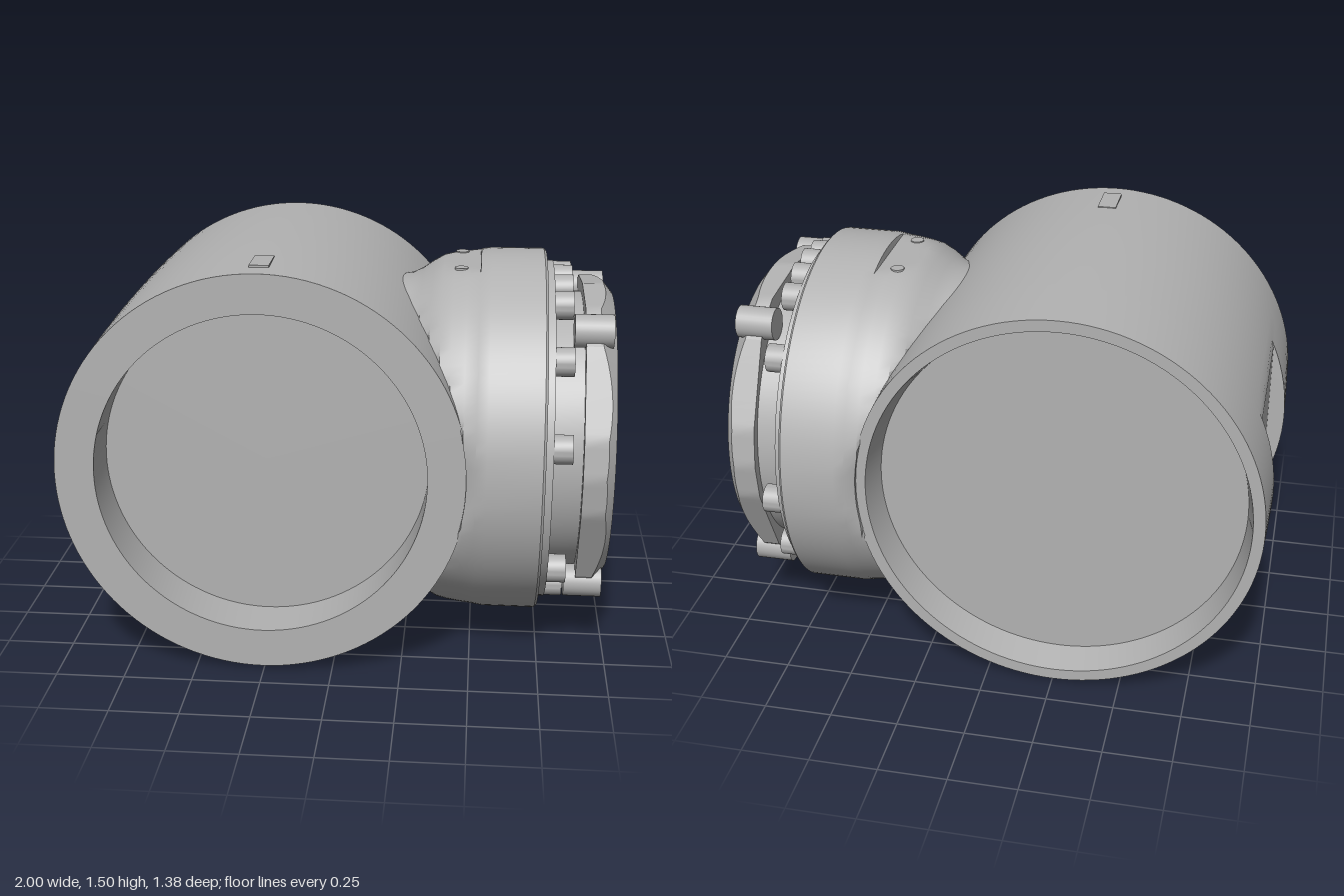
import * as THREE from 'three';
import { toCreasedNormals } from 'three/addons/utils/BufferGeometryUtils.js';

const CY = 0.75;      // height of both axes
const BX = -0.255;    // x of the barrel axis

// Moves every vertex by a rule
function reshape(geo, rule) {
  const p = geo.attributes.position;
  const v = new THREE.Vector3();
  for (let i = 0; i < p.count; i++) {
    v.fromBufferAttribute(p, i);
    rule(v);
    p.setXYZ(i, v.x, v.y, v.z);
  }
  return geo;
}

// Lathe of [radius, position along axis] pairs
function lathe(profile, segments) {
  return new THREE.LatheGeometry(profile.map(([r, a]) => new THREE.Vector2(r, a)), segments);
}

// Distance from the centre to the cover's eight-sided outline along a direction
const outline = [[0, 0.575], [0.27, 0.545], [0.4, 0.445], [0.55, 0.14], [0.57, 0]];
function coverRadius(y, z) {
  const l = Math.hypot(y, z), dz = Math.abs(z) / l, dy = Math.abs(y) / l;
  let best = 1;
  for (let i = 0; i < outline.length - 1; i++) {
    const [pz, py] = outline[i];
    const ez = outline[i + 1][0] - pz, ey = outline[i + 1][1] - py;
    const t = (pz * ey - py * ez) / (dz * ey - dy * ez);
    if (t > 0) best = Math.min(best, t);
  }
  return best;
}

export function createModel() {
  const model = new THREE.Group();
  const metal = new THREE.MeshStandardMaterial({ color: 0xb2b2b2 });
  metal.name = 'castGrey';

  function add(name, geo, x = 0, y = 0, z = 0, parent = model) {
    const mesh = new THREE.Mesh(geo, metal);
    mesh.name = name;
    mesh.position.set(x, y, z);
    parent.add(mesh);
    return mesh;
  }

  // Barrel housing: slightly bulged, recessed at both ends, flat cut on its right side
  const wall = [-0.64, -0.5, -0.36, -0.359, -0.2, 0, 0.12, 0.239, 0.24, 0.44, 0.64]
    .map((z) => [0.75 - 0.012 * (z / 0.64) ** 2, z]);
  const barrel = lathe([
    [0, -0.52], [0.67, -0.52], [0.695, -0.64], ...wall,
    [0.595, 0.64], [0.595, 0.44], [0, 0.44],
  ], 128).rotateX(Math.PI / 2);
  reshape(barrel, (v) => {
    if (v.z > -0.3595 && v.z < 0.2395) v.x = Math.max(v.x, -0.94 - BX);
  });
  add('barrelHousing', toCreasedNormals(barrel, 0.4), BX, CY, 0);

  // Neck and flange: flats above and below, base wrapped onto the barrel
  const neck = lathe([
    [0.58, 0.1], [0.583, 0.2], [0.59, 0.25], [0.61, 0.29], [0.638, 0.33], [0.66, 0.37],
    [0.67, 0.41], [0.678, 0.46], [0.683, 0.505], [0.684, 0.507], [0.69, 0.545],
    [0.69, 0.74], [0.682, 0.749], [0.645, 0.749], [0.645, 0.776], [0.63, 0.776],
    [0.63, 0.765], [0.62, 0.765], [0.62, 0.776], [0, 0.776],
  ], 128).rotateZ(-Math.PI / 2);
  reshape(neck, (v) => {
    if (v.x < 0.506) v.y = THREE.MathUtils.clamp(v.y, -0.655, 0.655);
    if (v.x < 0.54) {
      const side = 0.638 + Math.max(0, (v.x - 0.43) * 0.5);
      v.z = THREE.MathUtils.clamp(v.z, -side, side);
      v.x = Math.max(v.x, BX + Math.sqrt(Math.max(0, 0.73 ** 2 - v.y ** 2)));
    }
  });
  add('neckFlange', toCreasedNormals(neck, 0.5), 0, CY, 0);

  // Cover: hub, eight-sided plate, cone-shaped front and round window recess
  const cover = lathe([
    [0.53, 0.77], [0.53, 0.885], [0.6, 0.885], [0.6, 0.965], [0.53, 1], [0.41, 1],
    [0.405, 0.88], [0.395, 0.88], [0.395, 0.85], [0, 0.85],
  ], 128).rotateZ(-Math.PI / 2);
  reshape(cover, (v) => {
    const r = Math.hypot(v.y, v.z);
    if (r < 0.58) return;
    const k = coverRadius(v.y, v.z);
    v.y *= k / r;
    v.z *= k / r;
    if (v.x > 0.9) v.x = 1 - (k - 0.53) * 0.8;
  });
  add('endCover', toCreasedNormals(cover, 0.35), 0, CY, 0);

  // Cover posts at the four corners
  const post = new THREE.CylinderGeometry(0.06, 0.06, 0.14, 32).rotateZ(-Math.PI / 2);
  for (const sy of [-1, 1]) {
    for (const sz of [-1, 1]) add('coverPost', post, 0.913, CY + sy * 0.483, sz * 0.34);
  }

  // Socket-head bolts around the flange
  const head = new THREE.Shape().absarc(0, 0, 0.052, 0, Math.PI * 2);
  const socket = new THREE.Path();
  for (let i = 0; i < 6; i++) {
    const a = -i * Math.PI / 3;
    const x = 0.028 * Math.cos(a), y = 0.028 * Math.sin(a);
    if (i) socket.lineTo(x, y); else socket.moveTo(x, y);
  }
  socket.closePath();
  head.holes.push(socket);
  const boltGeo = toCreasedNormals(
    new THREE.ExtrudeGeometry(head, { depth: 0.07, bevelEnabled: false, curveSegments: 24 })
      .rotateY(Math.PI / 2), 0.6);
  const bolts = new THREE.Group();
  bolts.name = 'flangeBolts';
  model.add(bolts);
  // Angles from the top, towards the front
  const angles = [0, 11, -11, 22.5, -22.5, 48, -48, 78.5];
  for (const half of [0, 180]) {
    for (const deg of angles) {
      const a = THREE.MathUtils.degToRad(deg + half);
      add('bolt', boltGeo, 0.774, CY + 0.59 * Math.cos(a), 0.59 * Math.sin(a), bolts);
    }
  }

  // Pin plugs on the neck flats
  const plug = new THREE.CylinderGeometry(0.025, 0.025, 0.008, 24);
  for (const sy of [-1, 1]) {
    for (const z of [-0.14, 0.14]) add('pinPlug', plug, 0.435, CY + sy * 0.655, z);
  }

  // Small key plate on top of the barrel
  add('keyPlate', new THREE.BoxGeometry(0.07, 0.008, 0.155), BX, 1.494, 0.477);

  return model;
}
